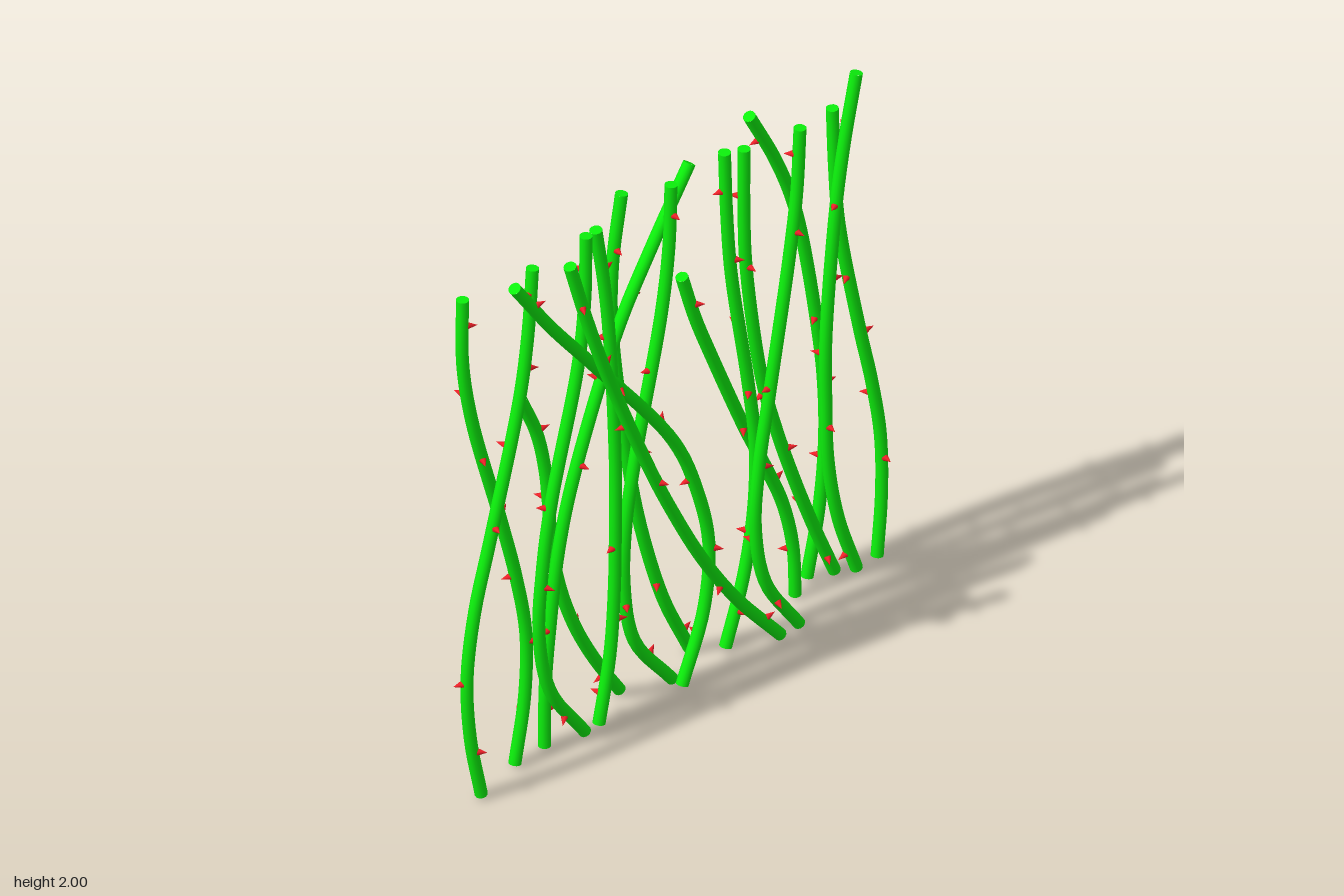
import * as THREE from 'three';

const RADIUS = 0.0215;
const BOTTOM = 0.015;
const green = new THREE.MeshStandardMaterial({ color: 0x0cf00c });
const red = new THREE.MeshStandardMaterial({ color: 0xf02028 });

// Fractions of a vine's height at which its x is given
const HEIGHTS = [0, 0.125, 0.25, 0.375, 0.5, 0.75, 0.875, 1];

function addMesh(parent, name, geometry, material) {
  const mesh = new THREE.Mesh(geometry, material);
  mesh.name = name;
  parent.add(mesh);
  return mesh;
}

// Flat cap closing one end of a stem
function addCap(vine, curve, t) {
  const cap = addMesh(vine, 'stemEnd', new THREE.CircleGeometry(RADIUS, 12), green);
  const outward = curve.getTangentAt(t).multiplyScalar(t ? 1 : -1);
  cap.position.copy(curve.getPointAt(t));
  cap.quaternion.setFromUnitVectors(new THREE.Vector3(0, 0, 1), outward);
}

// Thorn standing square to the stem
function addThorn(vine, curve, t, angle) {
  const tangent = curve.getTangentAt(t);
  const out = new THREE.Vector3(Math.cos(angle), 0, Math.sin(angle));
  out.addScaledVector(tangent, -out.dot(tangent)).normalize();
  const thorn = addMesh(vine, 'thorn', new THREE.ConeGeometry(0.013, 0.035, 8), red);
  thorn.position.copy(curve.getPointAt(t)).addScaledVector(out, 0.033);
  thorn.quaternion.setFromUnitVectors(new THREE.Vector3(0, 1, 0), out);
}

// One vine in the layer at depth z; lean moves its root forward
function addVine(model, z, xs, top = 1.985, lean = 0) {
  const index = model.children.length;
  const vine = new THREE.Group();
  vine.name = 'vine' + (index + 1);
  model.add(vine);
  const curve = new THREE.CatmullRomCurve3(xs.map((x, i) => {
    const t = HEIGHTS[i];
    return new THREE.Vector3(x, BOTTOM + t * (top - BOTTOM), z + lean * (1 - t));
  }));

  addMesh(vine, 'stem', new THREE.TubeGeometry(curve, 48, RADIUS, 12), green);
  addCap(vine, curve, 0);
  addCap(vine, curve, 1);

  // Thorns spiral round the stem
  const count = Math.round(top * 3.5);
  for (let i = 0; i < count; i++) {
    const t = (i + 0.3 + 0.4 * ((index * 0.618) % 1)) / count;
    addThorn(vine, curve, t, 2.4 * i + 1.7 * index);
  }
}

export function createModel() {
  const model = new THREE.Group();
  model.name = 'thornyVines';

  // Rear layer
  addVine(model, -0.08, [.15, .035, -.045, -.105, -.145, -.205, -.2, -.16]);
  addVine(model, -0.08, [.69, .745, .77, .765, .735, .64, .55, .425]);
  addVine(model, -0.08, [-.17, -.28, -.37, -.435, -.475, -.51, -.55, -.625], 1.41);

  // Second layer
  addVine(model, -0.04, [-.69, -.645, -.64, -.685, -.75, -.89, -.93, -.93]);
  addVine(model, -0.04, [-.555, -.55, -.525, -.49, -.425, -.22, -.065, .11]);
  addVine(model, -0.04, [.775, .675, .585, .505, .44, .37, .36, .36], 1.91);
  addVine(model, -0.04, [.595, .585, .54, .46, .37, .21, .135, .075], 1.55);
  addVine(model, -0.04, [.93, .955, .955, .92, .87, .785, .77, .765], 1.86, 0.04);

  // Middle layer
  addVine(model, 0, [-.885, -.935, -.95, -.915, -.845, -.71, -.67, -.65]);
  addVine(model, 0, [-.41, -.57, -.62, -.605, -.565, -.44, -.41, -.405]);
  addVine(model, 0, [-.345, -.295, -.275, -.27, -.27, -.295, -.32, -.36]);
  addVine(model, 0, [-.01, -.185, -.23, -.22, -.175, -.06, -.025, -.015]);
  addVine(model, 0, [.235, .32, .365, .37, .34, .26, .24, .23]);
  addVine(model, 0, [.835, .75, .705, .695, .695, .74, .78, .835]);

  // Front layers
  addVine(model, 0.037, [-.01, .09, .115, .06, -.045, -.41, -.6, -.77], 1.985, 0.008);
  addVine(model, 0.08, [.405, .205, .045, -.085, -.2, -.4, -.485, -.56]);
  addVine(model, 0.08, [.49, .335, .29, .31, .355, .445, .48, .495]);
  return model;
}
